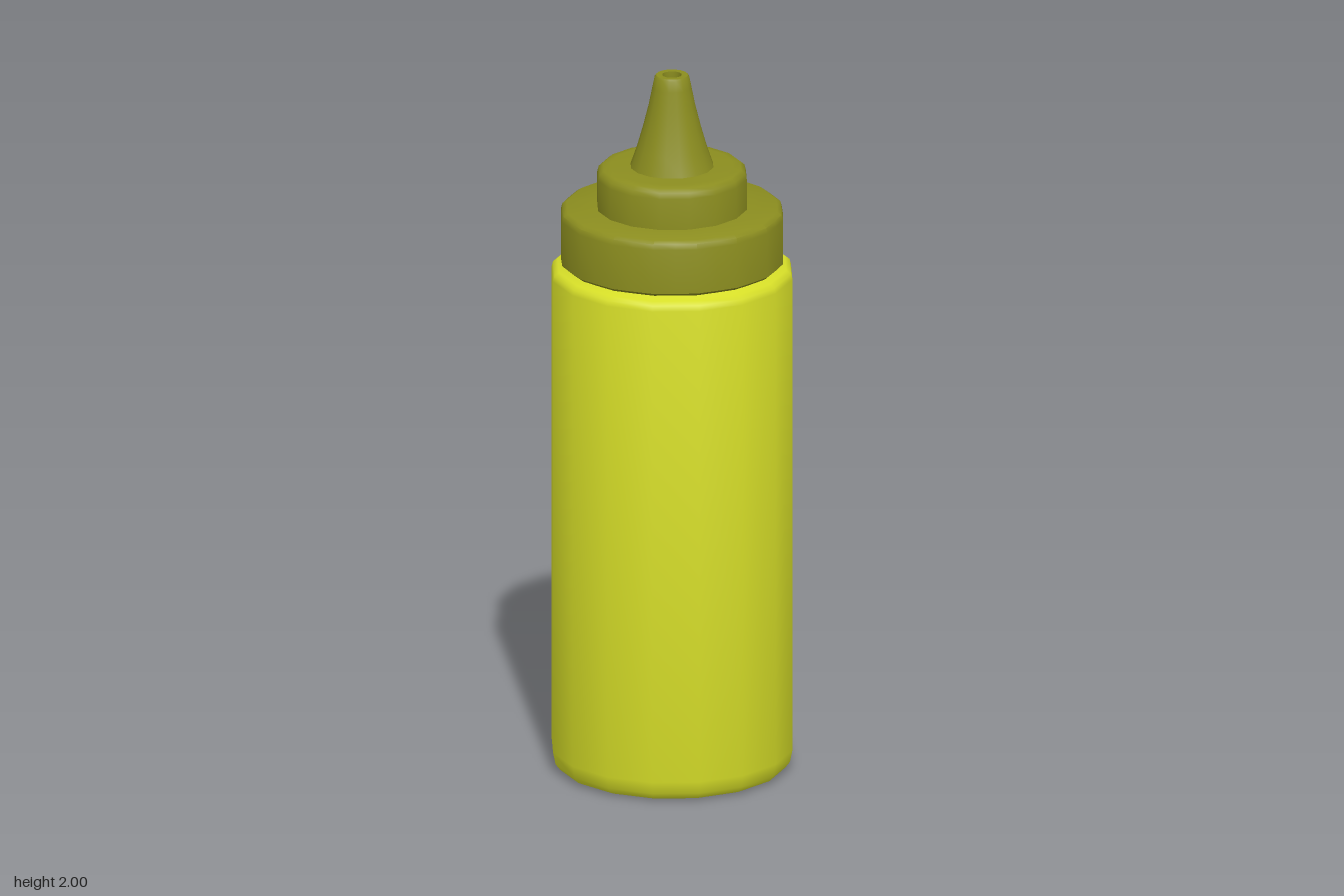
import * as THREE from 'three';
import { mergeVertices, toCreasedNormals } from 'three/addons/utils/BufferGeometryUtils.js';

const bottleMat = new THREE.MeshStandardMaterial({ color: 0xd6de28 });
const capMat = new THREE.MeshStandardMaterial({ color: 0x8b8d1f });

// Revolve a [radius, height] profile; flute scales the radius of every second column.
function turned(name, profile, material, sides = 16, flute = 1) {
  const points = profile.map(([r, y]) => new THREE.Vector2(r, y));
  let geo = new THREE.LatheGeometry(points, sides);
  const pos = geo.attributes.position;
  for (let i = 0; i < pos.count; i++) {
    const column = Math.floor(i / points.length);
    if (column % 2) {
      pos.setX(i, pos.getX(i) * flute);
      pos.setZ(i, pos.getZ(i) * flute);
    }
  }
  geo.deleteAttribute('uv');
  geo.deleteAttribute('normal');
  geo = toCreasedNormals(mergeVertices(geo, 1e-5), 0.75);
  const mesh = new THREE.Mesh(geo, material);
  mesh.name = name;
  return mesh;
}

export function createModel() {
  const model = new THREE.Group();
  model.name = 'squeezeBottle';

  // Body with rounded base and shoulder, and a small moulding dimple underneath
  model.add(turned('bottleBody', [
    [0, 0.02], [0.02, 0.006], [0.295, 0], [0.315, 0.008], [0.328, 0.025], [0.335, 0.06],
    [0.335, 1.425], [0.331, 1.44], [0.318, 1.45], [0.285, 1.455], [0.27, 1.47], [0, 1.47],
  ], bottleMat));

  // Fluted screw collar
  model.add(turned('capCollar', [
    [0.26, 1.46], [0.3, 1.46], [0.309, 1.468], [0.309, 1.595],
    [0.305, 1.61], [0.293, 1.618], [0.18, 1.62],
  ], capMat, 32, 0.985));

  // Raised step on the cap
  model.add(turned('capStep', [
    [0.208, 1.61], [0.208, 1.708], [0.204, 1.724], [0.192, 1.734], [0.17, 1.737], [0.09, 1.737],
  ], capMat));

  // Hollow tapering nozzle, outer wall then inner wall
  model.add(turned('nozzle', [
    [0.116, 1.735], [0.097, 1.79], [0.08, 1.85], [0.065, 1.91], [0.054, 1.965],
    [0.048, 1.994], [0.044, 2], [0.027, 2], [0.027, 1.96], [0.06, 1.85], [0.09, 1.735],
  ], capMat));

  return model;
}
